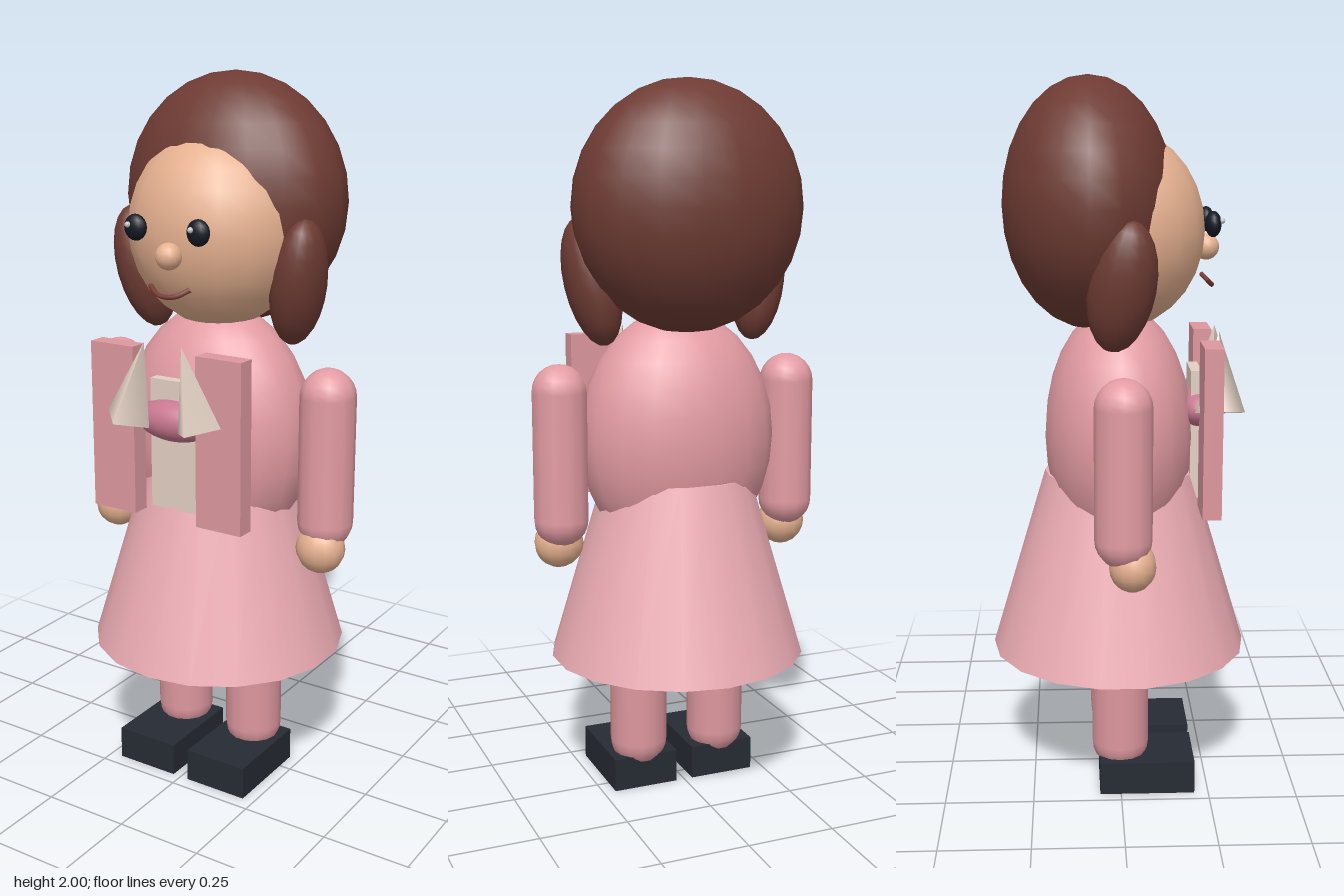
import * as THREE from 'three';

const mat = (color) => new THREE.MeshStandardMaterial({ color });

export function createModel() {
  const group = new THREE.Group();
  const pink = mat(0xe39ca3), rose = mat(0xdc979e), skirtPink = mat(0xecacb4), magenta = mat(0xc87890);
  const skin = mat(0xe6b190), hair = mat(0x6e3b33), dark = mat(0x262b33), black = mat(0x141a24);
  const cream = mat(0xe2cfc2), white = mat(0xf4f4f4), lip = mat(0x7d3f36);

  function add(name, geometry, material, x, y, z) {
    const mesh = new THREE.Mesh(geometry, material);
    mesh.name = name;
    mesh.position.set(x, y, z);
    group.add(mesh);
    return mesh;
  }
  const ellipsoid = (name, material, [x, y, z], [rx, ry, rz], w = 18, h = 14) =>
    add(name, new THREE.SphereGeometry(1, w, h).scale(rx, ry, rz), material, x, y, z);
  const box = (name, material, [x, y, z], size) =>
    add(name, new THREE.BoxGeometry(...size), material, x, y, z);

  // Body and skirt
  ellipsoid('torso', pink, [0, 1.02, 0], [0.285, 0.36, 0.21]);
  add('skirt', new THREE.CylinderGeometry(0.21, 0.365, 0.52, 18), skirtPink, 0, 0.65, 0);

  // Head and hair
  ellipsoid('head', skin, [0, 1.59, 0], [0.255, 0.272, 0.237]);
  ellipsoid('hair', hair, [0, 1.66, -0.083], [0.328, 0.34, 0.237]);

  // Face
  ellipsoid('nose', skin, [0, 1.541, 0.242], [0.036, 0.036, 0.036], 14, 10);
  const smile = new THREE.CatmullRomCurve3([
    [-0.063, 1.459, 0.236], [-0.03, 1.441, 0.254], [0, 1.437, 0.258], [0.03, 1.441, 0.254], [0.063, 1.459, 0.236],
  ].map((p) => new THREE.Vector3(...p)));
  add('mouth', new THREE.TubeGeometry(smile, 12, 0.007, 6), lip, 0, 0, 0);

  // Shirt front and neck scarf
  box('shirtFront', cream, [0, 1.023, 0.213], [0.148, 0.365, 0.03]);
  ellipsoid('scarf', magenta, [0, 1.095, 0.22], [0.12, 0.058, 0.06]);

  // Mirrored parts
  for (const s of [-1, 1]) {
    const side = s > 0 ? 'left' : 'right';
    const lock = ellipsoid(side + 'HairLock', hair, [s * 0.25, 1.46, 0], [0.074, 0.178, 0.09], 16, 12);
    lock.rotation.set(0.16, 0, -s * 0.18);
    ellipsoid(side + 'Eye', black, [s * 0.098, 1.61, 0.25], [0.033, 0.035, 0.022], 14, 10);
    ellipsoid(side + 'EyeGlint', white, [s * 0.098 - 0.009, 1.619, 0.273], [0.008, 0.008, 0.008], 8, 6);

    add(side + 'Arm', new THREE.CapsuleGeometry(0.077, 0.355, 6, 12), pink, s * 0.347, 0.985, 0);
    ellipsoid(side + 'Hand', skin, [s * 0.347, 0.735, 0.024], [0.07, 0.07, 0.064], 14, 10);
    add(side + 'Leg', new THREE.CapsuleGeometry(0.082, 0.36, 6, 14), rose, s * 0.121, 0.31, 0);
    box(side + 'Shoe', dark, [s * 0.12, 0.0475, 0.075], [0.19, 0.095, 0.27]);

    box(side + 'JacketPanel', rose, [s * 0.17, 1.06, 0.245], [0.14, 0.47, 0.052]);
    // Four-sided collar points leaning inward
    const collar = add(side + 'CollarPoint', new THREE.ConeGeometry(0.07, 0.225, 4), cream, s * 0.087, 1.205, 0.275);
    collar.rotation.z = s * 0.245;
  }
  return group;
}
